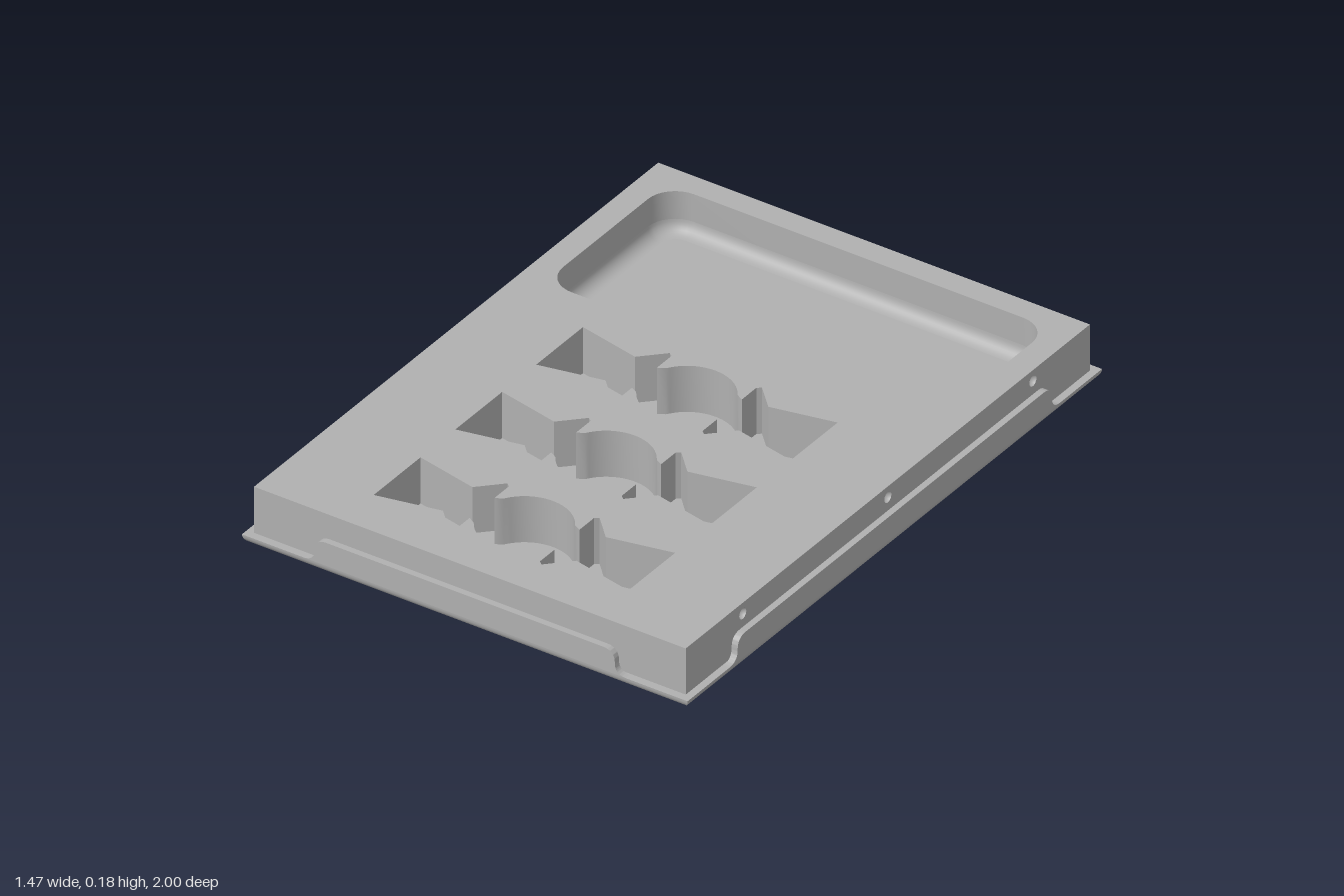
import * as THREE from 'three';
import { toCreasedNormals } from 'three/addons/utils/BufferGeometryUtils.js';

const grey = new THREE.MeshStandardMaterial({ color: 0xb0b0b0, side: THREE.DoubleSide });
grey.name = 'grey';

function add(parent, name, geometry) {
  const mesh = new THREE.Mesh(geometry, grey);
  mesh.name = name;
  parent.add(mesh);
  return mesh;
}

// Surface through equal-length rows of points
function loft(rows, closed = false) {
  const n = rows[0].length, index = [];
  for (let r = 0; r < rows.length - 1; r++) {
    for (let c = 0; c < (closed ? n : n - 1); c++) {
      const a = r * n + c, b = r * n + (c + 1) % n;
      index.push(a, b, a + n, b, b + n, a + n);
    }
  }
  const g = new THREE.BufferGeometry();
  g.setAttribute('position', new THREE.Float32BufferAttribute(rows.flat(2), 3));
  g.setIndex(index);
  g.computeVertexNormals();
  return g;
}

function extrude(shape, depth) {
  const g = new THREE.ExtrudeGeometry(shape, { depth, bevelEnabled: false, curveSegments: 20 });
  return toCreasedNormals(g, 0.5);
}

// Counterclockwise rounded rectangle as 2D points
function roundedRect(cy, hw, hh, r) {
  const pts = [];
  [[-1, -1], [1, -1], [1, 1], [-1, 1]].forEach(([sx, sy], k) => {
    for (let i = 0; i <= 8; i++) {
      const a = Math.PI + (k + i / 8) * Math.PI / 2;
      pts.push(new THREE.Vector2(sx * (hw - r) + r * Math.cos(a), cy + sy * (hh - r) + r * Math.sin(a)));
    }
  });
  return pts;
}

function rectangle(hw, y0, y1) {
  return new THREE.Shape([[-hw, y0], [hw, y0], [hw, y1], [-hw, y1]].map(p => new THREE.Vector2(...p)));
}

// Wrapped-sweet outline: a disc with a flared wing on each side
function sweetOutline(cy) {
  const wing = [[0.118, 0.072], [0.14, 0.06], [0.14, 0.13], [0.152, 0.14], [0.22, 0.071], [0.42, 0.113]];
  const arc = [];
  const start = Math.atan2(0.072, 0.118);
  for (let i = 1; i < 24; i++) {
    const a = start + (Math.PI - 2 * start) * i / 24;
    arc.push([0.138 * Math.cos(a), 0.138 * Math.sin(a)]);
  }
  const top = [...wing.slice().reverse(), ...arc, ...wing.map(([x, y]) => [-x, y])];
  const all = [...top, ...top.map(([x, y]) => [-x, -y])];
  return new THREE.Path(all.map(([x, y]) => new THREE.Vector2(x, cy + y)));
}

// Raised side flap with S-shaped ends
function flapShape(h) {
  const s = new THREE.Shape();
  s.moveTo(-h - 0.04, 0.03);
  s.quadraticCurveTo(-h, 0.03, -h, 0.067);
  s.quadraticCurveTo(-h, 0.105, -h + 0.04, 0.105);
  s.lineTo(h - 0.04, 0.105);
  s.quadraticCurveTo(h, 0.105, h, 0.067);
  s.quadraticCurveTo(h, 0.03, h + 0.04, 0.03);
  s.closePath();
  return s;
}

export function createModel() {
  const model = new THREE.Group();
  model.name = 'sweetTray';
  const W = 0.735, L = 1, R = 0.03;

  // Shallow base with rounded lower edges and mitred corners
  const base = new THREE.Group();
  base.name = 'base';
  model.add(base);
  const corners = [[-1, 1], [1, 1], [1, -1], [-1, -1]];
  corners.forEach((p, k) => {
    const q = corners[(k + 1) % 4], rows = [];
    for (let i = 0; i <= 8; i++) {
      const a = i / 8 * Math.PI / 2;
      const inset = R * (1 - Math.sin(a)), y = R * (1 - Math.cos(a));
      rows.push([p, q].map(([sx, sz]) => [sx * (W - inset), y, sz * (L - inset)]));
    }
    add(base, 'roundedEdge', loft(rows));
  });
  add(base, 'underside', new THREE.PlaneGeometry(2 * (W - R), 2 * (L - R)).rotateX(Math.PI / 2));
  add(base, 'baseTop', new THREE.PlaneGeometry(2 * W, 2 * L).rotateX(-Math.PI / 2)).position.y = R;

  // Upright flaps on all four sides
  const T = 0.02;
  const endFlap = extrude(flapShape(0.495), T);
  const sideFlap = extrude(flapShape(0.758), T).rotateY(Math.PI / 2);
  add(model, 'frontFlap', endFlap).position.z = L - T;
  add(model, 'backFlap', endFlap).position.z = -L;
  add(model, 'leftFlap', sideFlap).position.x = W - T;
  add(model, 'rightFlap', sideFlap).position.x = -W;

  // Insert block with the pocket and three sweet-shaped cutouts
  const top = 0.18, bottom = 0.028, bw = 0.712, bl = 0.975;
  const pocketY = 0.605, hw = 0.633, hh = 0.295, r = 0.09;
  const plan = rectangle(bw - T, -bl, bl);
  plan.holes.push(new THREE.Path(roundedRect(pocketY, hw, hh, r)));
  for (const z of [-0.072, 0.318, 0.712]) plan.holes.push(sweetOutline(-z));
  add(model, 'insertBlock', extrude(plan, top - bottom).rotateX(-Math.PI / 2)).position.y = bottom;

  // Pocket bottom with a filleted floor
  const fillet = 0.04, floorY = 0.05, rings = [];
  for (let i = 0; i <= 8; i++) {
    const a = i / 8 * Math.PI / 2, inset = fillet * (1 - Math.cos(a));
    const y = floorY + fillet * (1 - Math.sin(a));
    rings.push(roundedRect(pocketY, hw - inset, hh - inset, r - inset).map(p => [p.x, y, -p.y]));
  }
  add(model, 'pocketFillet', loft(rings, true));
  const floor = new THREE.Shape(roundedRect(pocketY, hw - fillet, hh - fillet, r - fillet));
  add(model, 'pocketFloor', new THREE.ShapeGeometry(floor).rotateX(-Math.PI / 2)).position.y = floorY;

  // Side faces of the block, each with three round dimples
  const side = rectangle(bl, bottom, top);
  const spots = [-0.7, 0, 0.7], dimpleY = 0.145, dr = 0.017;
  for (const z of spots) side.holes.push(new THREE.Path().absarc(z, dimpleY, dr, 0, Math.PI * 2));
  const sideWall = extrude(side, T).rotateY(Math.PI / 2);
  for (const s of [1, -1]) {
    const label = s > 0 ? 'left' : 'right';
    add(model, label + 'BlockSide', sideWall).position.x = s > 0 ? bw - T : -bw;
    for (const z of spots) {
      const bowl = new THREE.SphereGeometry(dr, 16, 12, 0, Math.PI).rotateY(-s * Math.PI / 2);
      add(model, label + 'Dimple', bowl).position.set(s * bw, dimpleY, z);
    }
  }
  return model;
}
